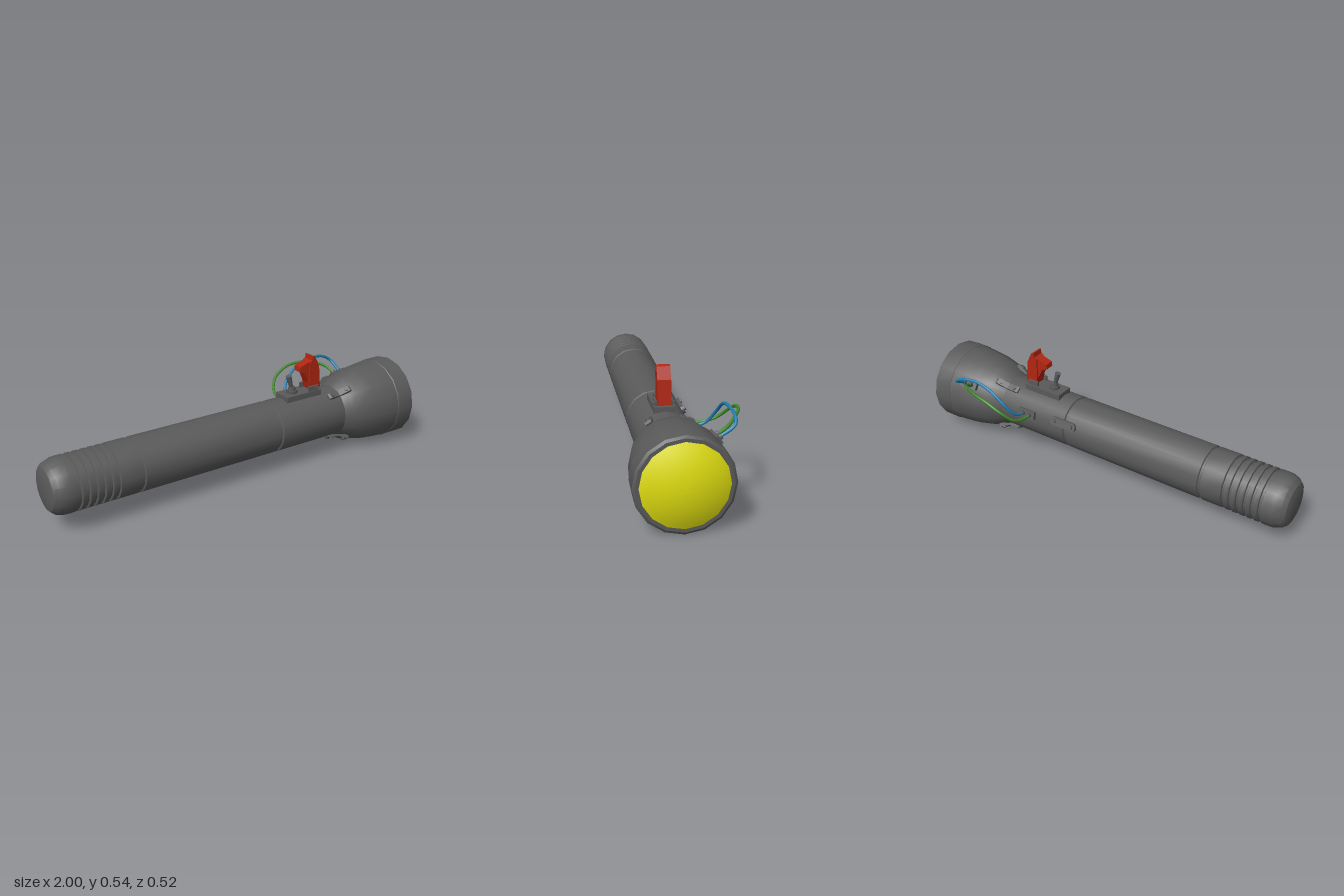
import * as THREE from 'three';
import { toCreasedNormals } from 'three/addons/utils/BufferGeometryUtils.js';

const AXIS_Y = 0.21, AXIS_Z = 0.05;
const mat = (name, color) => {
  const m = new THREE.MeshStandardMaterial({ color });
  m.name = name;
  return m;
};

export function createModel() {
  const root = new THREE.Group();
  root.name = 'flashlight';
  const grey = mat('dark grey metal', 0x5a5a5a);
  const yellow = mat('yellow lens', 0xe0de10);
  const red = mat('red cover', 0xb02612);
  const blue = mat('blue wire', 0x1f7fae);
  const green = mat('green wire', 0x3f8a2a);

  const add = (parent, name, geo, material, x = 0, y = 0, z = 0) => {
    const m = new THREE.Mesh(geo, material);
    m.name = name;
    m.position.set(x, y, z);
    parent.add(m);
    return m;
  };

  // Sixteen-sided turned part along x, from [x, radius] pairs
  const turned = (name, profile, material) => {
    const pts = profile.map(([x, r]) => new THREE.Vector2(r, x));
    const geo = toCreasedNormals(new THREE.LatheGeometry(pts, 16), 0.5);
    geo.rotateZ(-Math.PI / 2);
    return add(root, name, geo, material, 0, AXIS_Y, AXIS_Z);
  };

  // Outline in x-y, extruded across z and centred there
  const slab = (points, width) => {
    const s = new THREE.Shape(points.map(([x, y]) => new THREE.Vector2(x, y)));
    return new THREE.ExtrudeGeometry(s, { depth: width, bevelEnabled: false }).translate(0, 0, -width / 2);
  };

  // Plate with round ends lying in x-z
  const roundPlate = (length, width, thick) => {
    const r = width / 2, h = length / 2 - r;
    const s = new THREE.Shape();
    s.absarc(h, 0, r, -Math.PI / 2, Math.PI / 2, false);
    s.absarc(-h, 0, r, Math.PI / 2, Math.PI * 1.5, false);
    return new THREE.ExtrudeGeometry(s, { depth: thick, bevelEnabled: false, curveSegments: 6 })
      .rotateX(-Math.PI / 2);
  };

  // Group on the tube whose y points outward; angle is turned from the top toward +z
  const mount = (name, degrees) => {
    const g = new THREE.Group();
    g.name = name;
    g.position.set(0, AXIS_Y, AXIS_Z);
    g.rotation.x = THREE.MathUtils.degToRad(degrees);
    root.add(g);
    return g;
  };
  const screw = (parent, x, y, z = 0, r = 0.01, h = 0.012) =>
    add(parent, 'screw', new THREE.CylinderGeometry(r, r, h, 10), grey, x, y, z);

  // Tail cap, grip rings, tube and joints
  const body = [[-1, 0], [-1, 0.075], [-0.992, 0.1], [-0.972, 0.118], [-0.94, 0.129], [-0.91, 0.13]];
  const groove = (x, w, depth) =>
    body.push([x - w, 0.13], [x - w * 0.6, 0.13 - depth], [x + w * 0.6, 0.13 - depth], [x + w, 0.13]);
  for (let i = 0; i < 6; i++) groove(-0.88 + i * 0.036, 0.008, 0.01);
  groove(-0.58, 0.009, 0.008);
  groove(0.17, 0.009, 0.008);
  body.push([0.58, 0.13]);
  turned('tube', body, grey);

  // Flared head with its rim
  turned('head', [[0.555, 0.125], [0.565, 0.132], [0.6, 0.152], [0.64, 0.172], [0.72, 0.191],
    [0.8, 0.2], [0.855, 0.204], [0.858, 0.207], [0.95, 0.207], [0.957, 0.196], [0.957, 0.18]], grey);

  // Domed lens
  const dome = [];
  for (let i = 0; i <= 8; i++) {
    const t = i / 8;
    dome.push([0.956 + 0.044 * (1 - (1 - t) ** 2), 0.183 * (1 - t)]);
  }
  turned('lens', dome, yellow);

  // Four bent neck clips
  const clip = [[0.49, 0.12], [0.61, 0.15], [0.617, 0.164], [0.605, 0.172], [0.585, 0.163],
    [0.55, 0.145], [0.5, 0.142], [0.49, 0.137]];
  for (const a of [33.75, -33.75, 146.25, -146.25]) {
    const g = mount('neckClip', a);
    add(g, 'clipStrap', slab(clip, 0.03), grey);
    screw(g, 0.515, 0.142);
    const s = screw(g, 0.588, 0.163);
    s.rotation.z = 0.45;
  }

  // Long strap across the tube joint
  const strap = mount('jointStrap', -67);
  add(strap, 'strapPlate', roundPlate(0.15, 0.04, 0.018), grey, 0.175, 0.124, 0);
  for (const x of [0.125, 0.225]) screw(strap, x, 0.144);

  // Wire terminals on tube and head
  const terminal = (name, angle, x, r, xs, tilt) => {
    const g = mount(name, angle);
    const p = add(g, 'terminalPlate', new THREE.BoxGeometry(0.095, 0.022, 0.04), grey, x, r, 0);
    p.rotation.z = tilt;
    for (const sx of xs) screw(g, sx, r + 0.014, 0, 0.012, 0.022);
  };
  terminal('tubeTerminal', -74, 0.395, 0.132, [0.375, 0.414], 0);
  terminal('headTerminal', -56.25, 0.742, 0.194, [0.725, 0.765], 0.1);

  // Looping wires
  const wire = (name, pts, material) => {
    const curve = new THREE.CatmullRomCurve3(pts.map(p => new THREE.Vector3(...p)));
    add(root, name, new THREE.TubeGeometry(curve, 48, 0.0075, 8), material);
  };
  wire('blueWire', [[0.414, 0.246, -0.085], [0.42, 0.265, -0.14], [0.455, 0.325, -0.178],
    [0.54, 0.39, -0.188], [0.63, 0.41, -0.19], [0.71, 0.398, -0.198], [0.755, 0.37, -0.188],
    [0.765, 0.325, -0.12]], blue);
  wire('greenWire', [[0.375, 0.246, -0.085], [0.375, 0.255, -0.15], [0.386, 0.275, -0.2],
    [0.425, 0.322, -0.24], [0.5, 0.363, -0.253], [0.59, 0.377, -0.243], [0.66, 0.37, -0.21],
    [0.71, 0.35, -0.17], [0.725, 0.322, -0.12]], green);

  // Switch base, collar and toggle lever
  const sw = new THREE.Group();
  sw.name = 'switch';
  sw.position.z = AXIS_Z;
  root.add(sw);
  add(sw, 'switchBase', new THREE.BoxGeometry(0.21, 0.035, 0.095), grey, 0.358, 0.342, -0.002);
  add(sw, 'collar', new THREE.CylinderGeometry(0.027, 0.027, 0.016, 6), grey, 0.315, 0.366, 0);
  add(sw, 'collarNeck', new THREE.CylinderGeometry(0.017, 0.019, 0.02, 12), grey, 0.313, 0.382, 0);
  const lever = add(sw, 'lever', new THREE.CylinderGeometry(0.0145, 0.008, 0.085, 12), grey, 0.303, 0.412, 0);
  lever.rotation.z = 0.3;

  // Raised safety cover: wide spine, narrower inner part, hinge ears
  add(sw, 'coverSpine', slab([[0.41, 0.362], [0.468, 0.368], [0.457, 0.48], [0.431, 0.533],
    [0.416, 0.539], [0.414, 0.515], [0.4, 0.51], [0.4, 0.4]], 0.06), red);
  add(sw, 'coverInner', slab([[0.41, 0.38], [0.41, 0.513], [0.345, 0.492], [0.343, 0.467],
    [0.37, 0.457], [0.395, 0.41]], 0.046), red);
  for (const side of [-1, 1])
    add(sw, 'hingeEar', new THREE.BoxGeometry(0.06, 0.03, 0.01), grey, 0.42, 0.37, side * 0.036);
  const pin = add(sw, 'hingePin', new THREE.CylinderGeometry(0.007, 0.007, 0.095, 8), grey, 0.438, 0.374, 0);
  pin.rotation.x = Math.PI / 2;

  return root;
}
